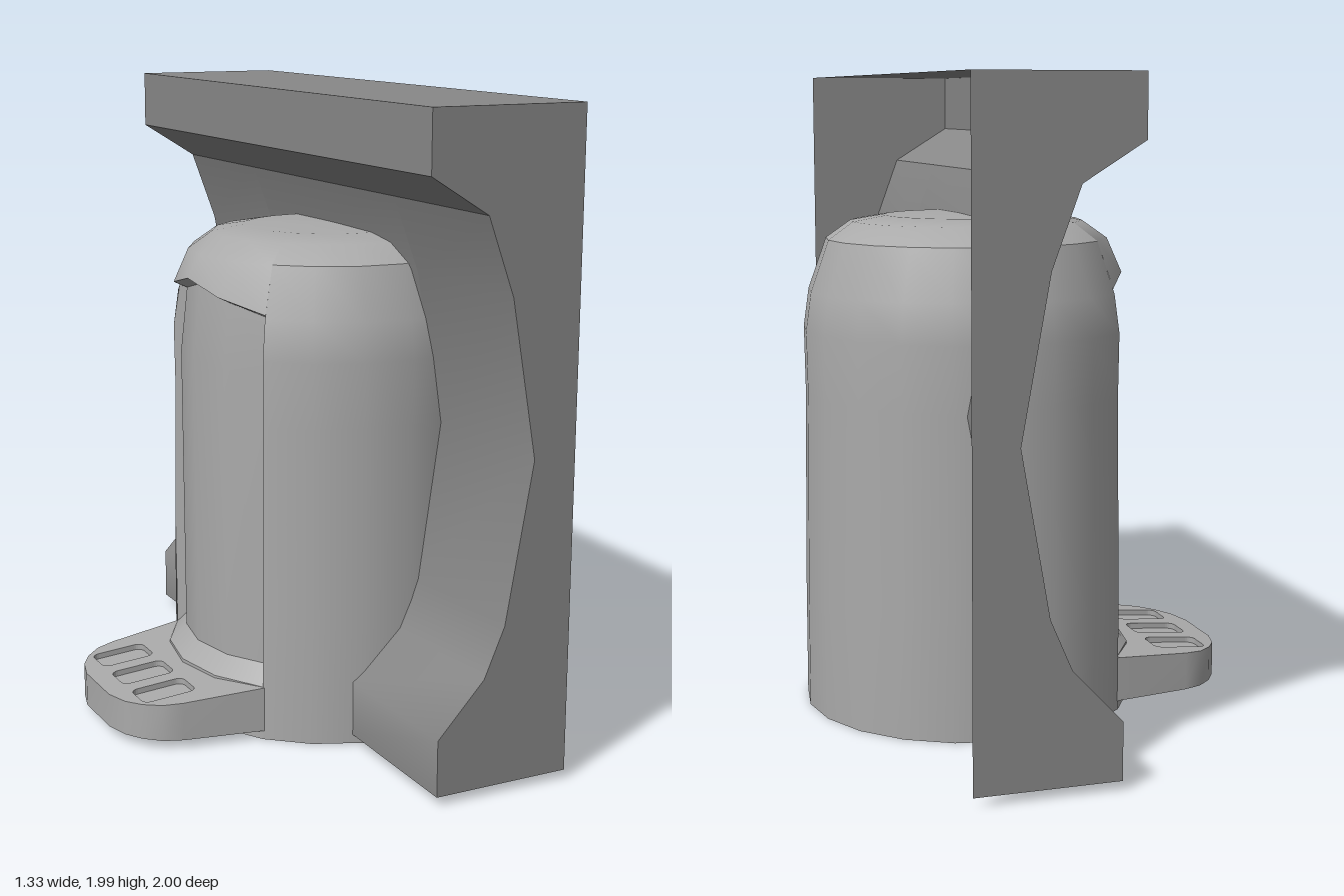
import * as THREE from 'three';

const paint = (color) => new THREE.MeshStandardMaterial({ color, side: THREE.DoubleSide });
const wallGrey = paint(0x888888);
const housingGrey = paint(0xaaaaaa);

const CX = 0.144; // axis of the round housing
const FRONT = Math.PI * 1.5; // the screen looks towards -x
const HALF = THREE.MathUtils.degToRad(41); // half the angle of the screen recess

function mesh(name, geometry, material = housingGrey) {
  const m = new THREE.Mesh(geometry, material);
  m.name = name;
  return m;
}

const v2 = (list) => list.map(([x, y]) => new THREE.Vector2(x, y));

// Surface of quads through rows of points, hard edged unless smooth
function surface(rows, smooth = false) {
  const n = rows[0].length;
  const index = [];
  for (let r = 0; r < rows.length - 1; r++) {
    for (let i = 0; i < n - 1; i++) {
      const a = r * n + i;
      index.push(a, a + 1, a + n, a + n, a + 1, a + n + 1);
    }
  }
  let g = new THREE.BufferGeometry();
  g.setAttribute('position', new THREE.Float32BufferAttribute(rows.flat(2), 3));
  g.setIndex(index);
  if (!smooth) g = g.toNonIndexed();
  g.computeVertexNormals();
  return g;
}

const polar = (r, a, y) => [CX + r * Math.sin(a), y, r * Math.cos(a)];

// Turned parts: the back runs around the body, the front spans the recess
function turned(name, profile, start, angle, sides) {
  const g = new THREE.LatheGeometry(v2(profile), sides, start, angle);
  g.translate(CX, 0, 0);
  return mesh(name, g);
}
const turnedBack = (name, profile) => turned(name, profile, FRONT + HALF, 2 * (Math.PI - HALF), 16);
const turnedFront = (name, profile) => turned(name, profile, FRONT - HALF, 2 * HALF, 4);

function createHousing() {
  const g = new THREE.Group();
  g.name = 'housing';
  const dome = [[0.443, 1.48], [0.365, 1.535], [0.26, 1.553], [0, 1.556]];
  g.add(turnedBack('body', [[0.523, 0], [0.522, 0.37], [0.514, 1], [0.517, 1.2], [0.5, 1.32], [0.443, 1.48]]));
  g.add(turnedBack('domeTop', dome));

  // Recessed screen with its sill and the wall below
  g.add(turnedFront('screenBase', [[0.523, 0], [0.518, 0.17]]));
  g.add(turnedFront('screenSill', [[0.518, 0.17], [0.463, 0.225]]));
  g.add(turnedFront('screen', [[0.463, 0.225], [0.469, 1.15], [0.443, 1.4]]));

  // Hood flowing into the dome, its lip dipping towards both sides
  const ring = (r, y) => [-1, -0.5, 0, 0.5, 1].map((t) => {
    const s = Math.abs(t);
    return polar(r(s), FRONT + t * HALF, y(s));
  });
  const lip = ring((s) => 0.485 + 0.01 * s, (s) => 1.41 - 0.075 * s);
  const under = ring(() => 0.445, (s) => 1.39 - 0.075 * s);
  g.add(mesh('hoodUnderside', surface([under, lip], true)));
  g.add(mesh('hood', surface([lip, ...dome.map(([r, y]) => ring(() => r, () => y))], true)));

  // Side walls of the recess
  const outer = [[0.518, 0.17], [0.52, 0.5], [0.514, 1], [0.517, 1.2], [0.495, 1.335]];
  const inner = [[0.463, 0.225], [0.464, 0.5], [0.467, 1], [0.465, 1.2], [0.445, 1.32]];
  for (const side of [-1, 1]) {
    const row = (list) => list.map(([r, y]) => polar(r, FRONT + side * HALF, y));
    g.add(mesh('recessSide', surface([row(outer), row(inner)])));
  }
  return g;
}

function createWall() {
  const g = new THREE.Group();
  g.name = 'wallPanel';
  // Profile from the back top corner over the face to the foot; back and bottom are open
  const cornice = [[0.422, 1.985], [-0.068, 1.985], [-0.068, 1.803], [0.115, 1.69]];
  const curve = [[0.115, 1.69], [0.2, 1.46], [0.285, 0.99], [0.2, 0.51], [0.135, 0.36], [-0.015, 0.2], [-0.015, 0.028]];
  const sheet = (name, list, z0, z1, smooth) => {
    const rows = [z0, z1].map((z) => list.map(([x, y]) => [x, y, z]));
    g.add(mesh(name, surface(rows, smooth), wallGrey));
  };
  sheet('cornice', cornice, -1, 1, false);
  // The face is left out inside the hollow housing
  sheet('rightFace', curve, -1, -0.48, true);
  sheet('leftFace', curve, 0.48, 1, true);
  sheet('faceAboveHousing', curve.slice(0, 3), -0.48, 0.48, true);

  const outline = new THREE.Shape(v2([...cornice, ...curve.slice(1), [0.422, 0.028]]));
  for (const z of [-1, 1]) {
    const end = mesh('endPanel', new THREE.ShapeGeometry(outline), wallGrey);
    end.position.z = z;
    g.add(end);
  }
  return g;
}

// Height of the sloping shelf top
const shelfY = (x) => 0.17 + (x + 0.24) * 0.081;

// Lay a flat shape on the shelf slope, lowered by drop
function laid(shape, drop) {
  const g = new THREE.ShapeGeometry(shape, 3);
  const p = g.attributes.position;
  for (let i = 0; i < p.count; i++) {
    const x = p.getX(i);
    p.setXYZ(i, x, shelfY(x) - drop, -p.getY(i));
  }
  g.computeVertexNormals();
  return g;
}

function keyShape(cx, cy, w, h, r) {
  const s = new THREE.Shape();
  const corners = [[1, 1], [-1, 1], [-1, -1], [1, -1]];
  corners.forEach(([sx, sy], i) => {
    s.absarc(cx + sx * (w / 2 - r), cy + sy * (h / 2 - r), r, i * Math.PI / 2, (i + 1) * Math.PI / 2);
  });
  s.closePath();
  return s;
}

function createShelf() {
  const g = new THREE.Group();
  g.name = 'shelf';
  const half = [[-0.24, 0.347], [-0.5, 0.302], [-0.56, 0.28], [-0.61, 0.235], [-0.645, 0.18], [-0.667, 0.1]];
  const outline = [...half, ...half.map(([x, z]) => [x, -z]).reverse()];
  g.add(mesh('shelfEdge', surface([
    outline.map(([x, z]) => [x, 0.028, z]),
    outline.map(([x, z]) => [x, shelfY(x), z]),
  ], true)));

  // The top ends along the round front of the housing
  const fit = [-0.5, 0, 0.5].map((t) => {
    const [x, , z] = polar(0.517, FRONT + t * HALF, 0);
    return [x, z];
  });
  const top = new THREE.Shape(v2([...outline, ...fit]));

  // Three sunken keys
  for (const z of [-0.172, 0, 0.172]) {
    const key = keyShape(-0.513, z, 0.175, 0.116, 0.025);
    top.holes.push(key);
    const pts = key.getPoints(3);
    pts.push(pts[0]);
    const rim = [0, 0.018].map((drop) => pts.map((p) => [p.x, shelfY(p.x) - drop, -p.y]));
    g.add(mesh('keyRim', surface(rim)));
    g.add(mesh('key', laid(key, 0.018)));
  }
  g.add(mesh('shelfTop', laid(top, 0)));
  return g;
}

export function createModel() {
  const model = new THREE.Group();
  model.name = 'wallTerminal';
  model.add(createHousing(), createWall(), createShelf());
  return model;
}
